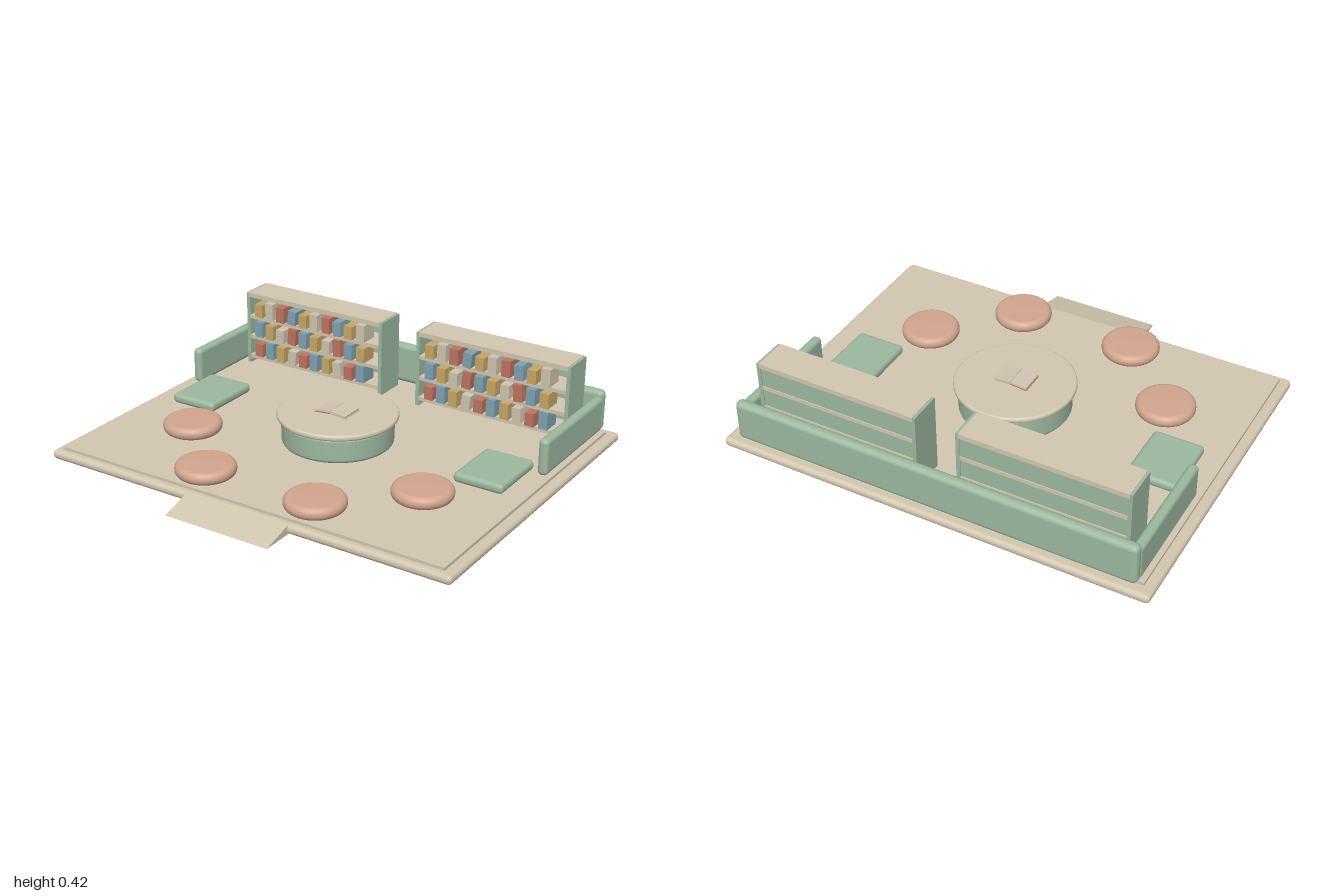
import * as THREE from 'three';
import { RoundedBoxGeometry } from 'three/addons/geometries/RoundedBoxGeometry.js';

const mat = (name, color) => {
  const m = new THREE.MeshStandardMaterial({ color });
  m.name = name;
  return m;
};

export function createModel() {
  const root = new THREE.Group();
  root.name = 'readingCorner';
  const sand = mat('sand', 0xd2c7b0);
  const sage = mat('sage', 0x9cb8a0);
  const clay = mat('clay', 0xd2a58e);
  const ochre = mat('ochre', 0xc8a766);
  const cream = mat('cream', 0xd0c5b0);
  const red = mat('brickRed', 0xc07460);
  const blue = mat('dustyBlue', 0x7fa3b2);
  const bookColors = [ochre, cream, red, blue];

  const add = (parent, name, geometry, material, x = 0, y = 0, z = 0) => {
    const mesh = new THREE.Mesh(geometry, material);
    mesh.name = name;
    mesh.position.set(x, y, z);
    parent.add(mesh);
    return mesh;
  };
  // Box given by its limits; r > 0 rounds the edges
  const box = (parent, name, material, [x0, x1], [y0, y1], [z0, z1], r = 0) => {
    const size = [x1 - x0, y1 - y0, z1 - z0];
    const g = r ? new RoundedBoxGeometry(...size, 3, r) : new THREE.BoxGeometry(...size);
    return add(parent, name, g, material, (x0 + x1) / 2, (y0 + y1) / 2, (z0 + z1) / 2);
  };
  // Disc with rounded rims, from y = 0 to h
  const roundDisc = (radius, h, r) => {
    const p = [new THREE.Vector2(0, 0)];
    for (let i = 0; i <= 6; i++) {
      const a = -Math.PI / 2 + (i / 6) * Math.PI / 2;
      p.push(new THREE.Vector2(radius - r + r * Math.cos(a), r + r * Math.sin(a)));
    }
    for (let i = 0; i <= 6; i++) {
      const a = (i / 6) * Math.PI / 2;
      p.push(new THREE.Vector2(radius - r + r * Math.cos(a), h - r + r * Math.sin(a)));
    }
    p.push(new THREE.Vector2(0, h));
    return new THREE.LatheGeometry(p, 48);
  };

  // Platform, floor mat and entry ramp
  box(root, 'platform', sand, [-1, 1], [0, 0.043], [-0.84, 0.7], 0.02);
  box(root, 'floorMat', sand, [-0.955, 0.955], [0.03, 0.056], [-0.785, 0.667]);
  const wedge = new THREE.Shape([[0.68, 0], [0.84, 0], [0.68, 0.043]].map(p => new THREE.Vector2(...p)));
  const ramp = add(root, 'ramp',
    new THREE.ExtrudeGeometry(wedge, { depth: 0.51, bevelEnabled: false }), sand, 0.255);
  ramp.rotation.y = -Math.PI / 2;

  // Padded walls
  box(root, 'backWall', sage, [-0.935, 0.935], [0.055, 0.248], [-0.818, -0.766], 0.024);
  for (const s of [-1, 1]) {
    box(root, 'sideWall', sage, [s * 0.913 - 0.023, s * 0.913 + 0.023], [0.055, 0.222], [-0.785, -0.225], 0.02);
  }

  // Bookcases with three rows of books
  const shelfTops = [0.305, 0.202, 0.1];
  for (const [x0, label] of [[-0.863, 'rightBookcase'], [0.093, 'leftBookcase']]) {
    const g = new THREE.Group();
    g.name = label;
    root.add(g);
    const w = 0.77, x1 = x0 + w, back = -0.726, front = -0.57;
    for (const x of [x0, x1 - 0.018]) {
      box(g, 'sidePanel', sage, [x, x + 0.018], [0.055, 0.418], [back, front]);
    }
    box(g, 'backPanel', sage, [x0 + 0.018, x1 - 0.018], [0.055, 0.4], [back + 0.004, back + 0.016]);
    box(g, 'topBoard', sand, [x0 + 0.012, x1 - 0.012], [0.398, 0.42], [back - 0.001, front + 0.002]);
    shelfTops.forEach((y, row) => {
      box(g, 'shelfBoard', sand, [x0 + 0.018, x1 - 0.018], [y - 0.018, y], [back, front]);
      for (let i = 0; i < 10; i++) {
        const h = 0.064 + 0.006 * ((i * 3 + row * 2) % 4);
        const x = x0 + 0.073 + i * 0.0648;
        const book = box(g, 'book', bookColors[(i + row * 3) % 4],
          [x - 0.022, x + 0.022], [y, y + h], [-0.65, -0.562 + 0.003 * (i % 3)]);
        if (i % 4 === 3) book.rotation.z = i % 8 === 3 ? -0.09 : 0.09;
      }
    });
  }

  // Round table
  const table = new THREE.Group();
  table.name = 'table';
  table.position.set(0, 0, -0.06);
  root.add(table);
  add(table, 'tableDrum', roundDisc(0.25, 0.12, 0.02), sage, 0, 0.052, 0);
  add(table, 'tableTop', roundDisc(0.27, 0.027, 0.011), sand, 0, 0.168, 0);

  // Open book lying on the table
  const openBook = new THREE.Group();
  openBook.name = 'openBook';
  openBook.position.set(0, 0.203, 0.008);
  table.add(openBook);
  for (const s of [-1, 1]) {
    const half = new THREE.Group();
    half.name = 'bookHalf';
    half.position.x = s * 0.04;
    half.rotation.z = -s * 0.1;
    openBook.add(half);
    add(half, 'cover', new THREE.BoxGeometry(0.08, 0.004, 0.114), s < 0 ? red : sand, 0, -0.003, 0);
    add(half, 'pages', new THREE.BoxGeometry(0.077, 0.009, 0.112), cream, -s * 0.0015, 0.003, 0);
  }

  // Round poufs and square floor cushions
  for (const s of [-1, 1]) {
    for (const [x, z] of [[0.595, 0.215], [0.278, 0.532]]) {
      add(root, 'pouf', roundDisc(0.133, 0.057, 0.027), clay, s * x, 0.056, z);
    }
    box(root, 'floorCushion', sage, [s * 0.744 - 0.117, s * 0.744 + 0.117], [0.056, 0.102], [-0.27, 0.03], 0.02);
  }
  return root;
}
